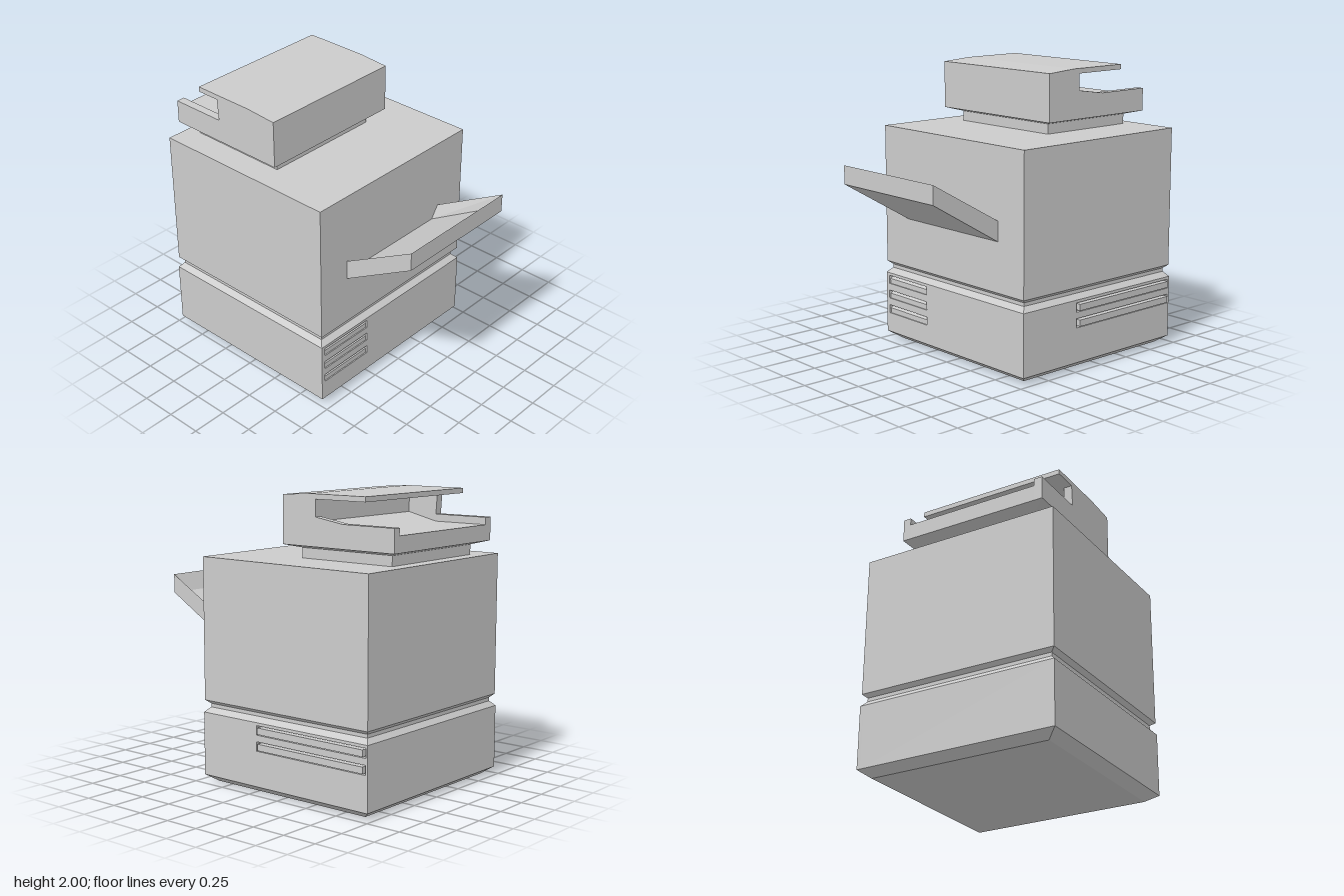
import * as THREE from 'three';

const grey = new THREE.MeshStandardMaterial({ color: 0xcccccc });

// Flat-shaded mesh from four-cornered faces (corners anticlockwise from outside)
function quadMesh(name, quads) {
  const pos = [];
  for (const [a, b, c, d] of quads) pos.push(...a, ...b, ...c, ...a, ...c, ...d);
  const geo = new THREE.BufferGeometry();
  geo.setAttribute('position', new THREE.Float32BufferAttribute(pos, 3));
  geo.computeVertexNormals();
  const mesh = new THREE.Mesh(geo, grey);
  mesh.name = name;
  return mesh;
}

// Stack of rectangles [y, x0, x1, z0, z1], bottom to top, closed by caps
function stack(name, rings) {
  const loops = rings.map(([y, x0, x1, z0, z1]) =>
    [[x0, y, z1], [x1, y, z1], [x1, y, z0], [x0, y, z0]]);
  const quads = [[...loops[0]].reverse(), loops[loops.length - 1]];
  for (let i = 0; i + 1 < loops.length; i++) {
    for (let j = 0; j < 4; j++) {
      const k = (j + 1) % 4;
      quads.push([loops[i][j], loops[i][k], loops[i + 1][k], loops[i + 1][j]]);
    }
  }
  return quadMesh(name, quads);
}

const rect = (a, b, y0, y1) => [[a, y0], [b, y0], [b, y1], [a, y1]].map(p => new THREE.Vector2(...p));

function panel(name, outline, holes, depth) {
  const shape = new THREE.Shape(outline);
  for (const h of holes) shape.holes.push(new THREE.Path(h));
  const mesh = new THREE.Mesh(new THREE.ExtrudeGeometry(shape, { depth, bevelEnabled: false }), grey);
  mesh.name = name;
  return mesh;
}

// Side profile given as (z, y), swept across from x0 to x1
function sidePanel(name, outline, x0, x1, holes = []) {
  const mesh = panel(name, outline, holes, x1 - x0);
  mesh.geometry.rotateY(-Math.PI / 2).translate(x1, 0, 0);
  return mesh;
}
const points = list => list.map(p => new THREE.Vector2(...p));

function createBase() {
  const g = new THREE.Group();
  g.name = 'base';
  // Core is set back behind the slotted front and side walls
  g.add(stack('baseCore', [
    [0, -0.655, 0.645, -0.905, 0.375],
    [0.05, -0.735, 0.715, -0.975, 0.445],
    [0.05, -0.735, 0.685, -0.975, 0.415],
    [0.49, -0.735, 0.685, -0.975, 0.415],
    [0.49, -0.735, 0.715, -0.975, 0.445],
    [0.525, -0.70, 0.68, -0.945, 0.41],
    [0.55, -0.70, 0.68, -0.945, 0.41],
  ]));

  // Front wall with three slots and their louvers
  const slots = [0.19, 0.30, 0.41];
  const front = panel('frontWall', rect(-0.735, 0.715, 0.05, 0.49),
    slots.map(y => rect(-0.705, -0.28, y, y + 0.06)), 0.03);
  front.position.z = 0.415;
  g.add(front);
  for (const y of slots) {
    g.add(sidePanel('louver',
      points([[0.41, y], [0.437, y], [0.437, y + 0.036], [0.41, y + 0.052]]), -0.70, -0.285));
  }

  // Right-hand wall with two long grilles and their raised bars
  const grilles = [0.295, 0.405];
  g.add(sidePanel('sideWall', rect(-0.975, 0.415, 0.05, 0.49), 0.685, 0.715,
    grilles.map(y => rect(-0.96, -0.04, y, y + 0.065))));
  for (const y of grilles) {
    g.add(sidePanel('grilleBar', rect(-0.945, -0.06, y + 0.01, y + 0.055), 0.68, 0.73));
  }
  return g;
}

// Sloping paper tray, hollowed from sharp rims down to a tapered floor
function createTray() {
  const x0 = -0.48, x1 = 0.46, zw = 0.435, ze = 0.98;
  const bottom = [[x0, 0.92, zw], [x1, 0.92, zw], [x1, 1.24, ze], [x0, 1.24, ze]];
  const rim = [[x0, 1.06, zw], [x1, 1.06, zw], [x1, 1.37, ze], [x0, 1.37, ze]];
  const floor = [[-0.42, 0.97, zw], [0.40, 0.97, zw], [0.43, 1.25, 0.92], [-0.45, 1.25, 0.92]];
  const quads = [bottom, [...floor].reverse()];
  for (const [a, b] of [[1, 2], [2, 3], [3, 0]]) {
    quads.push([bottom[b], bottom[a], rim[a], rim[b]]);
    quads.push([rim[b], rim[a], floor[a], floor[b]]);
  }
  return quadMesh('paperTray', quads);
}

// Document feeder: solid front, overhanging lid and an open rear basin
function createFeeder() {
  const g = new THREE.Group();
  g.name = 'documentFeeder';
  g.add(stack('neck', [
    [1.56, -0.54, 0.34, -0.87, -0.125],
    [1.63, -0.54, 0.34, -0.87, -0.125],
    [1.655, -0.645, 0.44, -0.96, -0.04],
  ]));
  const profile = notch => points([
    [-0.96, 1.655], [-0.04, 1.655], [-0.04, 1.985], [-0.27, 2], [-0.73, 2], [-0.73, 1.965], ...notch,
  ]);
  g.add(sidePanel('feederMiddle',
    profile([[-0.32, 1.965], [-0.32, 1.82], [-0.55, 1.765], [-0.96, 1.765]]), -0.585, 0.385));
  g.add(sidePanel('feederOpenSide',
    profile([[-0.32, 1.965], [-0.32, 1.85], [-0.55, 1.815], [-0.96, 1.815]]), 0.385, 0.44));
  g.add(sidePanel('feederClosedSide',
    profile([[-0.56, 1.965], [-0.55, 1.815], [-0.96, 1.815]]), -0.645, -0.585));
  return g;
}

export function createModel() {
  const model = new THREE.Group();
  model.name = 'officePrinter';
  model.add(createBase());
  model.add(stack('body', [
    [0.55, -0.70, 0.68, -0.945, 0.41],
    [0.575, -0.73, 0.71, -0.97, 0.44],
    [1.56, -0.73, 0.71, -0.97, 0.44],
  ]));
  model.add(createTray());
  model.add(createFeeder());
  return model;
}
